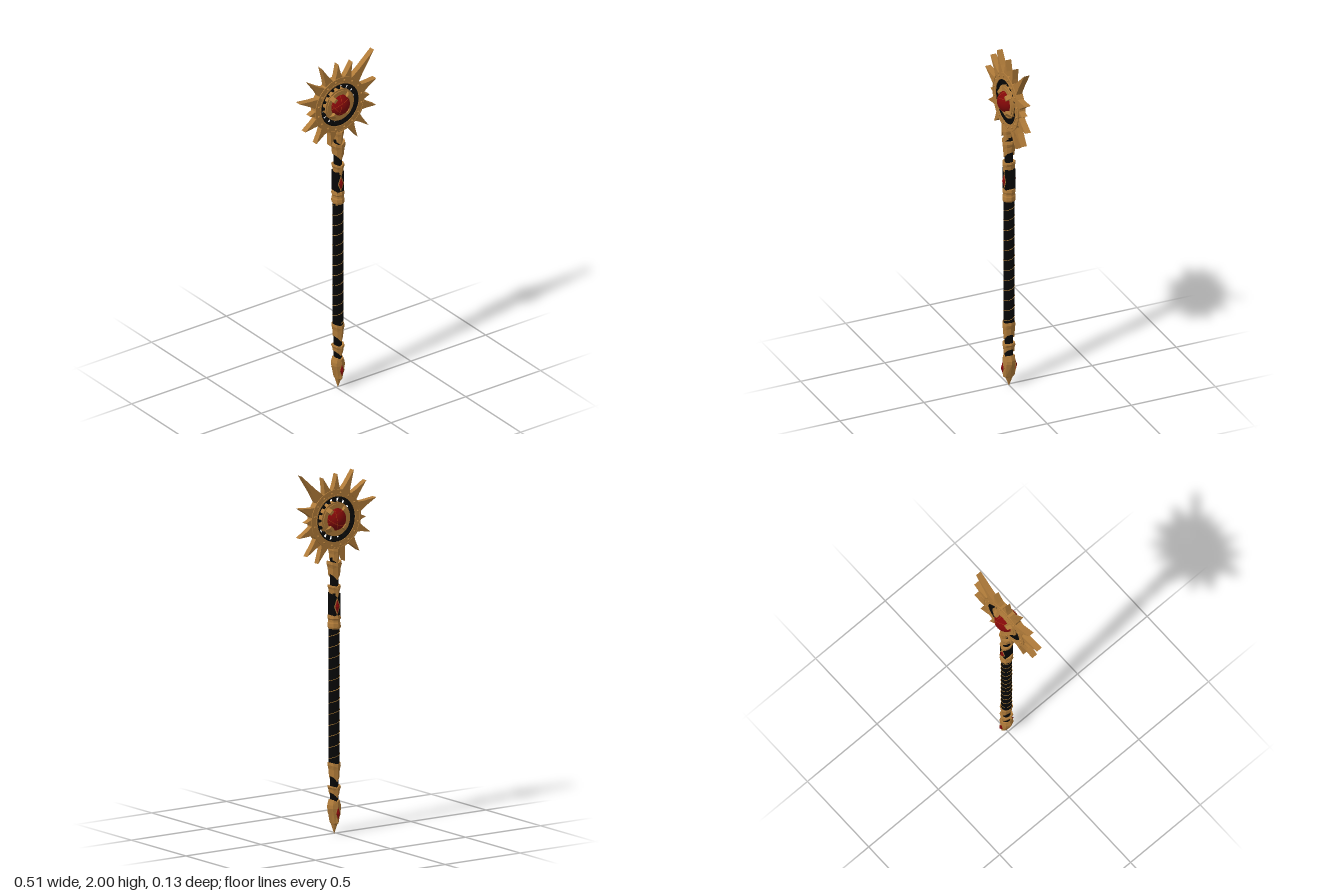
import * as THREE from 'three';

const CX = 0.012, HEAD_Y = 1.735;

const flat = (name, color) => {
  const m = new THREE.MeshStandardMaterial({ color, flatShading: true });
  m.name = name;
  return m;
};

// Stacked octagonal sections [y, rx, rz, dip]; dip pulls front and back down into a point
function loft(rows, sides = 8) {
  const pos = [], idx = [];
  for (const [y, rx, rz, dip = 0] of rows)
    for (let i = 0; i < sides; i++) {
      const a = (i / sides) * Math.PI * 2, c = Math.cos(a);
      pos.push(Math.sin(a) * rx, y - dip * c ** 4, c * rz);
    }
  for (let r = 0; r < rows.length - 1; r++)
    for (let i = 0; i < sides; i++) {
      const j = (i + 1) % sides, a = r * sides + i, b = r * sides + j;
      idx.push(a, b, b + sides, a, b + sides, a + sides);
    }
  const g = new THREE.BufferGeometry();
  g.setAttribute('position', new THREE.Float32BufferAttribute(pos, 3));
  g.setIndex(idx);
  const out = g.toNonIndexed();
  out.computeVertexNormals();
  return out;
}

// Flat annulus centred on z = 0
function annulus(outer, inner, depth) {
  const s = new THREE.Shape().absarc(0, 0, outer, 0, Math.PI * 2, false);
  s.holes.push(new THREE.Path().absarc(0, 0, inner, 0, Math.PI * 2, true));
  return new THREE.ExtrudeGeometry(s, { depth, bevelEnabled: false, curveSegments: 24 }).translate(0, 0, -depth / 2);
}

// Concave-sided spike along +x from radius 0.15 to the tip
function spike(tip, half) {
  const base = 0.15, mid = base + (tip - base) * 0.38;
  const s = new THREE.Shape([
    [base, -half], [mid, -half * 0.52], [tip, 0], [mid, half * 0.52], [base, half],
  ].map(p => new THREE.Vector2(...p)));
  return new THREE.ExtrudeGeometry(s, { depth: 0.034, bevelEnabled: false }).translate(0, 0, -0.017);
}

export function createModel() {
  const root = new THREE.Group();
  root.name = 'sunStaff';
  const gold = flat('gold', 0xb07b39);
  const wireGold = flat('wireGold', 0xc08a3a);
  const black = flat('black', 0x060606);
  const red = new THREE.MeshStandardMaterial({ color: 0x800808 });
  red.name = 'redGem';
  const ember = flat('ember', 0xa83a12);

  const staff = new THREE.Group();
  staff.name = 'staff';
  staff.position.x = CX;
  const head = new THREE.Group();
  head.name = 'sunHead';
  head.position.set(CX, HEAD_Y, 0);
  root.add(staff, head);
  const add = (parent, name, geo, mat) => {
    const m = new THREE.Mesh(geo, mat);
    m.name = name;
    parent.add(m);
    return m;
  };

  // Core rod and wrapped grip
  add(staff, 'core', new THREE.CylinderGeometry(0.023, 0.023, 1.4, 12).translate(0, 0.84, 0), black);
  add(staff, 'grip', new THREE.CylinderGeometry(0.03, 0.03, 0.76, 20).translate(0, 0.765, 0), black);
  const helix = [];
  for (let i = 0; i <= 192; i++) {
    const a = (i / 16) * Math.PI * 2;
    helix.push(new THREE.Vector3(Math.sin(a) * 0.03, 0.4 + (i / 192) * 0.735, Math.cos(a) * 0.03));
  }
  add(staff, 'gripWire', new THREE.TubeGeometry(new THREE.CatmullRomCurve3(helix), 384, 0.0016, 4), wireGold);

  // Flared collars with pointed front and back: bottom, top, rx, rz, dip
  const collars = [
    [0.318, 0.395, 0.035, 0.038, 0.03],
    [0.228, 0.266, 0.037, 0.037, 0.028],
    [1.325, 1.372, 0.035, 0.039, 0.02],
    [1.435, 1.505, 0.045, 0.038, 0.035],
    [1.512, 1.578, 0.031, 0.037, 0.02],
  ];
  for (const [b, t, rx, rz, dip] of collars) {
    const h = t - b;
    add(staff, 'collar', loft([
      [b, 0.015, 0.015, dip], [b, rx * 0.72, rz * 0.85, dip],
      [b + h * 0.5, rx * 0.8, rz * 0.92, dip * 0.7], [t - h * 0.2, rx, rz, dip * 0.45],
      [t, rx * 0.95, rz * 0.95, dip * 0.3], [t - h * 0.1, 0.015, 0.015, dip * 0.3],
    ]), gold);
  }

  // Stepped band above the grip
  add(staff, 'gripBand', loft([
    [1.13, 0.015, 0.015], [1.13, 0.031, 0.035], [1.14, 0.035, 0.039], [1.16, 0.034, 0.038],
    [1.168, 0.031, 0.035], [1.18, 0.031, 0.035], [1.188, 0.036, 0.039], [1.205, 0.034, 0.036],
    [1.205, 0.015, 0.015],
  ]), gold);

  // Dark block behind the shaft gems
  add(staff, 'gemBlock', new THREE.BoxGeometry(0.042, 0.13, 0.056).translate(0, 1.262, 0), black);

  // Pointed pommel
  add(staff, 'pommel', loft([
    [0.0, 0.001, 0.001], [0.05, 0.014, 0.022], [0.06, 0.017, 0.035], [0.14, 0.039, 0.037],
    [0.16, 0.038, 0.036, 0.004], [0.19, 0.026, 0.034, 0.012], [0.19, 0.01, 0.01, 0.012],
  ]), gold);

  // Diamond gems with thin frames, front and back
  for (const s of [1, -1])
    for (const [y, w, h, z] of [[1.255, 0.016, 0.042, 0.028], [0.115, 0.014, 0.038, 0.036]]) {
      const frame = add(staff, 'gemFrame', new THREE.OctahedronGeometry(1).scale(w * 1.3, h * 1.2, 0.005), gold);
      frame.position.set(0, y, s * z);
      const gem = add(staff, 'diamondGem', new THREE.OctahedronGeometry(1).scale(w, h, 0.013), red);
      gem.position.set(0, y, s * z);
    }

  // Neck under the sun
  add(staff, 'neck', new THREE.CylinderGeometry(0.014, 0.02, 0.14, 8).translate(0, 1.58, 0), black);

  // Outer sun ring with raised rims, dark lining and studs
  add(head, 'outerRing', annulus(0.164, 0.125, 0.038), gold);
  add(head, 'outerRim', annulus(0.164, 0.157, 0.043), gold);
  add(head, 'innerRim', annulus(0.134, 0.126, 0.043), gold);
  add(head, 'ringLining', annulus(0.1262, 0.117, 0.036), black);
  for (let i = 0; i < 16; i++) {
    const a = ((i + 0.5) / 16) * Math.PI * 2;
    for (const s of [1, -1])
      add(head, 'stud', new THREE.SphereGeometry(0.006, 8, 6), gold)
        .position.set(Math.cos(a) * 0.145, Math.sin(a) * 0.145, s * 0.021);
  }

  // Spokes across the open gap
  for (let i = 0; i < 16; i++)
    add(head, 'spoke', new THREE.BoxGeometry(0.034, 0.012, 0.024).translate(0.106, 0, 0), black)
      .rotation.z = (i / 16) * Math.PI * 2;

  // Low bezel ring with four sloped prongs around the orb
  add(head, 'bezel', annulus(0.094, 0.06, 0.036), gold);
  add(head, 'bezelLip', annulus(0.084, 0.06, 0.046), gold);
  const prong = new THREE.Shape([[0.055, 0], [0.09, 0], [0.088, 0.02], [0.07, 0.043], [0.055, 0.043]]
    .map(p => new THREE.Vector2(...p)));
  const prongGeo = new THREE.ExtrudeGeometry(prong, { depth: 0.026, bevelEnabled: false })
    .translate(0, 0, -0.013).rotateX(Math.PI / 2);
  for (let i = 0; i < 4; i++)
    for (const flip of [0, Math.PI]) {
      const p = add(head, 'prong', prongGeo, gold);
      p.rotation.order = 'ZXY';
      p.rotation.set(flip, 0, Math.PI / 4 + (i * Math.PI) / 2);
    }

  // Orb with thin glowing veins
  add(head, 'orb', new THREE.SphereGeometry(0.065, 32, 24), red);
  for (const [rx, ry] of [[0.35, 1.2], [1.1, 0.3], [-0.9, 0.5]])
    add(head, 'orbVein', new THREE.TorusGeometry(0.0649, 0.0011, 4, 48), ember).rotation.set(rx, ry, 0);

  // Sun spikes, by angle in degrees, tip radius and half width
  const spikes = [
    [19, 0.258, 0.032], [49, 0.349, 0.032], [70, 0.25, 0.028], [92, 0.248, 0.028], [115, 0.283, 0.03],
    [137, 0.277, 0.03], [162, 0.283, 0.032], [183, 0.2, 0.025], [203, 0.25, 0.03], [231, 0.248, 0.03],
    [256, 0.245, 0.028], [-63, 0.262, 0.028], [-44, 0.268, 0.028], [-18, 0.256, 0.032], [0, 0.2, 0.025],
  ];
  for (const [deg, tip, half] of spikes)
    add(head, 'spike', spike(tip, half), gold).rotation.z = THREE.MathUtils.degToRad(deg);

  return root;
}
